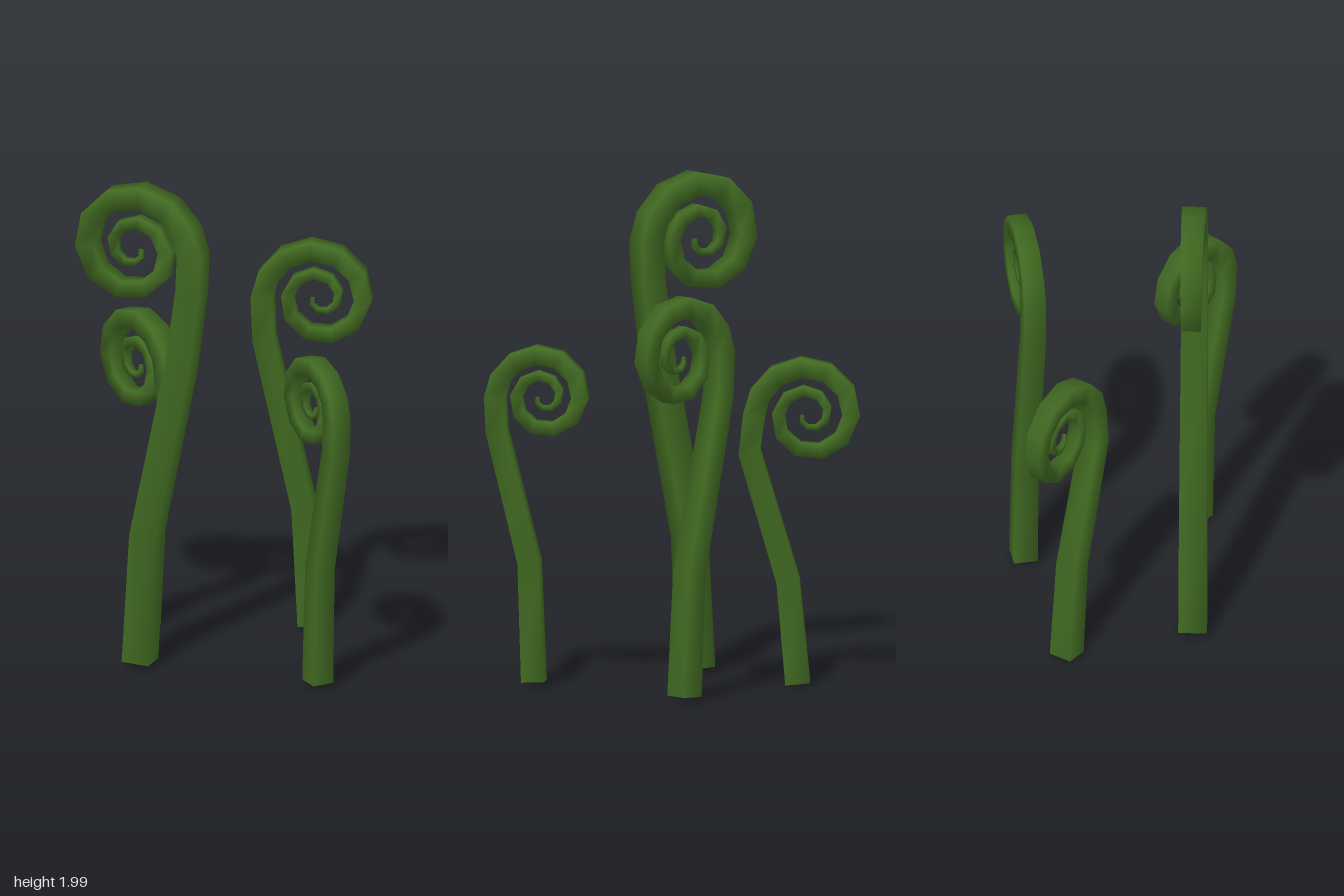
import * as THREE from 'three';

const stemGreen = new THREE.MeshStandardMaterial({ color: 0x426b22 });
stemGreen.name = 'fern green';

// base: root position; slope: dz/dx of the frond's vertical plane; half: half the stem side;
// stem: further stem points (x, y); eye: centre of the curl; radius: outer curl radius; dir: side of the stem
const FRONDS = [
  { name: 'leftFrond', base: [-0.47, 0.01, -0.055], slope: 0.42, half: 0.048, stem: [[-0.435, 0.42], [-0.295, 0.93]], eye: [-0.51, 1.075], radius: 0.215, dir: 1 },
  { name: 'tallFrond', base: [-0.215, 0.027, 0.4], slope: -0.17, half: 0.056, stem: [[-0.187, 0.55], [-0.045, 1.25], [0.0, 1.58]], eye: [-0.24, 1.73], radius: 0.25, dir: 1 },
  { name: 'backFrond', base: [0.122, 0.025, -0.35], slope: -0.427, half: 0.048, stem: [[0.097, 0.51], [-0.048, 1.2]], eye: [0.152, 1.375], radius: 0.225, dir: -1 },
  { name: 'rightFrond', base: [0.52, 0.025, 0.265], slope: 0.575, half: 0.045, stem: [[0.535, 0.5], [0.647, 1.02]], eye: [0.488, 1.155], radius: 0.19, dir: 1 },
];
const STEPS = 20;      // segments in the curl
const TURNS = 2;

// Centre line in the frond's own plane: [u, y, half side]
function centreLine({ base, slope, half, stem, eye, radius, dir }) {
  const c = 1 / Math.hypot(1, slope);
  const toU = x => (x - base[0]) / c;
  const line = [[0, base[1], half]];
  stem.forEach(([x, y], i) => line.push([toU(x), y, half * (1 - 0.1 * (i + 1) / stem.length)]));
  for (let i = 0; i <= STEPS; i++) {
    const t = Math.pow(i / STEPS, 1.15);
    const a = t * TURNS * Math.PI * 2;
    const r = radius * (1 - 0.88 * t);
    line.push([toU(eye[0]) + dir * r * Math.cos(a), eye[1] + r * Math.sin(a), half * (0.9 - 0.76 * t)]);
  }
  return line;
}

// Square section swept along the centre line, with a cap at each end
function frondGeometry(frond) {
  const line = centreLine(frond);
  const c = 1 / Math.hypot(1, frond.slope), s = frond.slope * c;
  const [bx, , bz] = frond.base;
  const pos = [], index = [];
  const addRing = i => {
    const [u, y, h] = line[i];
    const p = line[Math.max(i - 1, 0)], q = line[Math.min(i + 1, line.length - 1)];
    const len = Math.hypot(q[0] - p[0], q[1] - p[1]);
    const tu = (q[0] - p[0]) / len, ty = (q[1] - p[1]) / len;
    for (const [n, w] of [[1, -1], [1, 1], [-1, 1], [-1, -1]]) {
      const pu = u - ty * n * h, py = y + tu * n * h, pw = w * h;
      pos.push(bx + pu * c - pw * s, py, bz + pu * s + pw * c);
    }
  };
  line.forEach((_, i) => addRing(i));
  for (let i = 0; i < line.length - 1; i++) {
    for (let j = 0; j < 4; j++) {
      const a = i * 4 + j, b = i * 4 + (j + 1) % 4;
      index.push(a, b, b + 4, a, b + 4, a + 4);
    }
  }
  // caps have their own corners so their edges stay sharp
  let k = pos.length / 3;
  addRing(0);
  index.push(k, k + 2, k + 1, k, k + 3, k + 2);
  k += 4;
  addRing(line.length - 1);
  index.push(k, k + 1, k + 2, k, k + 2, k + 3);

  const g = new THREE.BufferGeometry();
  g.setAttribute('position', new THREE.Float32BufferAttribute(pos, 3));
  g.setIndex(index);
  g.computeVertexNormals();
  return g;
}

export function createModel() {
  const group = new THREE.Group();
  group.name = 'fiddleheadFerns';
  for (const frond of FRONDS) {
    const mesh = new THREE.Mesh(frondGeometry(frond), stemGreen);
    mesh.name = frond.name;
    group.add(mesh);
  }
  return group;
}
